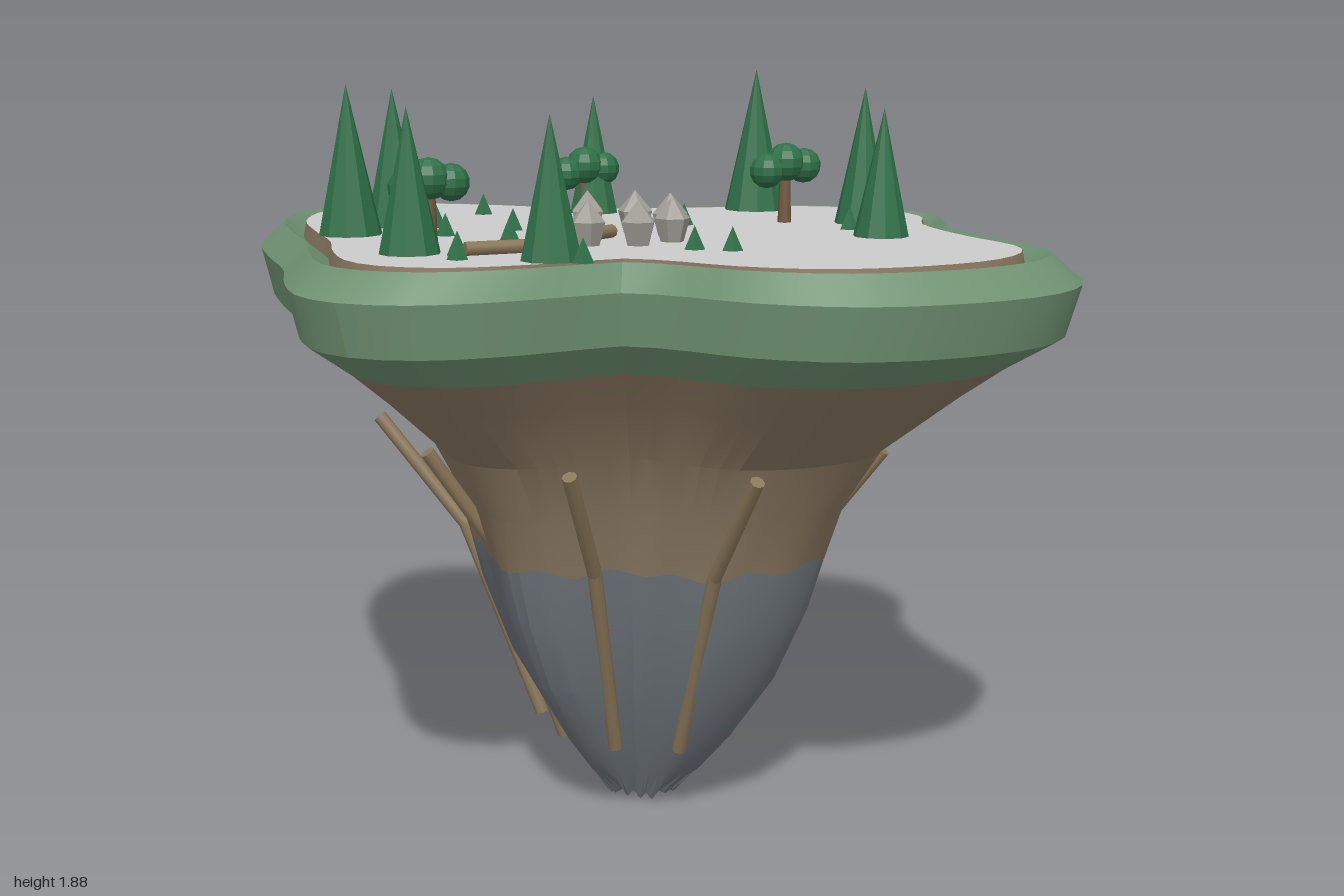
import * as THREE from 'three';
import { toCreasedNormals } from 'three/addons/utils/BufferGeometryUtils.js';

const mat = (name, color, flatShading = false) => {
  const m = new THREE.MeshStandardMaterial({ color });
  m.name = name;
  m.flatShading = flatShading;
  return m;
};

export function createModel() {
  const grass = mat('grass green', 0x6f9272);
  const earth = mat('earth brown', 0x8b7962);
  const slate = mat('slate grey', 0x6e757b);
  const snow = mat('pale ground', 0xcbcbcb);
  const leaf = mat('leaf green', 0x2f7048, true);
  const stone = mat('stone grey', 0xa09e96, true);
  const wood = mat('root wood', 0x8b7759);
  const bark = mat('bark brown', 0x755a45);

  const island = new THREE.Group();
  island.name = 'floatingIsland';
  const add = (parent, name, geo, material, x = 0, y = 0, z = 0) => {
    const m = new THREE.Mesh(geo, material);
    m.name = name;
    m.position.set(x, y, z);
    parent.add(m);
    return m;
  };

  // Wavy outline of the island, seen from above (x, z)
  const outline = [
    [0.993, 0.37], [0.91, 0.14], [0.845, -0.16], [0.88, -0.40], [0.80, -0.60], [0.62, -0.71],
    [0.44, -0.725], [0.19, -0.685], [-0.03, -0.665], [-0.235, -0.70], [-0.475, -0.805], [-0.715, -0.85],
    [-0.89, -0.79], [-0.98, -0.61], [-0.997, -0.345], [-0.93, -0.05], [-0.85, 0.215], [-0.81, 0.455],
    [-0.75, 0.645], [-0.66, 0.745], [-0.50, 0.79], [-0.315, 0.745], [-0.155, 0.665], [-0.05, 0.62],
    [0.06, 0.67], [0.22, 0.78], [0.435, 0.84], [0.675, 0.79], [0.875, 0.67], [0.98, 0.51],
  ];
  const N = 80;
  const rim = new THREE.CatmullRomCurve3(
    outline.map(([x, z]) => new THREE.Vector3(x, 0, z)), true).getSpacedPoints(N);

  // Skin through scaled copies of the outline: rings of [height, scale, waviness]
  function loft(rings) {
    const pos = [], index = [];
    rings.forEach(([y, s, wave = 0]) => {
      for (let j = 0; j < N; j++) {
        const p = rim[j];
        pos.push(p.x * s, y + wave * Math.sin(j * 0.157 * 3) * Math.cos(j * 0.157 * 5), p.z * s);
      }
    });
    for (let i = 0; i < rings.length - 1; i++) {
      for (let j = 0; j < N; j++) {
        const a = i * N + j, b = i * N + (j + 1) % N;
        index.push(a, a + N, b, b, a + N, b + N);
      }
    }
    const g = new THREE.BufferGeometry();
    g.setAttribute('position', new THREE.Float32BufferAttribute(pos, 3));
    g.setIndex(index);
    return toCreasedNormals(g, 0.3);
  }

  // Ground plate, grassy lip, earth and rock layers
  const ground = 1.495;
  add(island, 'ground', loft([[ground, 0], [ground, 0.872]]), snow);
  add(island, 'groundEdge', loft([[ground, 0.872], [1.455, 0.88]]), earth);
  add(island, 'grassRim', loft([[1.455, 0.88], [1.492, 0.932], [1.43, 1], [1.31, 0.97], [1.235, 0.86]]), grass);
  add(island, 'earthLayer', loft([[1.235, 0.86], [1.15, 0.755], [1, 0.585], [0.85, 0.5], [0.705, 0.455, 0.02]]), earth);
  add(island, 'rockLayer', loft([[0.705, 0.455, 0.02], [0.57, 0.42], [0.38, 0.345], [0.2, 0.235],
    [0.1, 0.16], [0.02, 0.09, 0.02], [0.03, 0]]), slate);

  // Straight round bars joined along a path
  const up = new THREE.Vector3(0, 1, 0);
  function bars(name, points, radius) {
    const g = new THREE.Group();
    g.name = name;
    for (let i = 0; i < points.length - 1; i++) {
      const a = new THREE.Vector3(...points[i]), b = new THREE.Vector3(...points[i + 1]);
      const d = b.clone().sub(a);
      const m = add(g, name + 'Part', new THREE.CylinderGeometry(radius, radius, d.length(), 8), wood);
      m.position.copy(a).add(b).multiplyScalar(0.5);
      m.quaternion.setFromUnitVectors(up, d.normalize());
    }
    island.add(g);
  }

  // Roots leaning out of the cliff, re-emerging near the tip
  [[0.25, 0.56], [-0.175, 0.5], [0.585, 0.25], [0.655, -0.29], [0.3, -0.53],
    [-0.22, -0.53], [-0.68, -0.18], [-0.52, 0.24]].forEach(([x, z]) =>
    bars('root', [[x, 0.99, z], [x * 0.67, 0.71, z * 0.69], [x * 0.38, 0.2, z * 0.37]], 0.018));

  // Fallen log
  bars('log', [[-0.4, 1.515, 0.52], [-0.24, 1.515, 0.455], [-0.155, 1.515, 0.28], [-0.07, 1.515, 0.17]], 0.016);

  // Conifers: x, z, radius, tip height
  [[-0.11, -0.48, 0.067, 1.81], [0.34, -0.555, 0.085, 1.877], [0.585, -0.185, 0.072, 1.84],
    [0.585, 0.12, 0.068, 1.80], [-0.62, -0.15, 0.075, 1.84], [-0.71, 0.045, 0.078, 1.857],
    [-0.53, 0.43, 0.071, 1.82], [-0.21, 0.56, 0.07, 1.81]].forEach(([x, z, r, top]) => {
    const tree = new THREE.Group();
    tree.name = 'conifer';
    tree.position.set(x, ground, z);
    const h = top - ground;
    add(tree, 'coniferLeaves', new THREE.ConeGeometry(r, h, 10), leaf, 0, h / 2, 0);
    add(tree, 'coniferTrunk', new THREE.CylinderGeometry(r * 0.27, r * 0.3, h * 0.74, 6), bark, 0, h * 0.37, 0);
    island.add(tree);
  });

  // Round trees: three leaf balls on a trunk
  [[0.385, -0.205, 1.635], [-0.5, 0.23, 1.63], [-0.135, -0.45, 1.61]].forEach(([x, z, y]) => {
    const tree = new THREE.Group();
    tree.name = 'roundTree';
    tree.position.set(x, y, z);
    const h = y - ground;
    add(tree, 'roundTreeTrunk', new THREE.CylinderGeometry(0.014, 0.018, h, 7), bark, 0, -h / 2, 0);
    [[-0.05, -0.005, 0.024, 0.045], [0, 0.015, 0, 0.05], [0.05, 0.005, -0.024, 0.045]].forEach(([a, b, c, r]) =>
      add(tree, 'roundTreeLeaves', new THREE.SphereGeometry(r, 10, 7), leaf, a, b, c));
    island.add(tree);
  });

  // Little shrubs
  const shrub = new THREE.ConeGeometry(0.025, 0.055, 5);
  [[-0.41, -0.44], [-0.515, -0.145], [-0.525, -0.105], [-0.14, -0.155], [0.12, -0.15], [-0.315, -0.04],
    [-0.54, 0.03], [-0.475, 0.08], [-0.315, 0.185], [0.53, -0.035], [0.115, 0.375], [0.2, 0.4],
    [-0.42, 0.47], [-0.415, 0.545], [-0.14, 0.61]].forEach(([x, z]) =>
    add(island, 'shrub', shrub, leaf, x, ground + 0.0275, z));

  // Ring of pointed stones
  const rock = new THREE.LatheGeometry(
    [[0.028, 0], [0.043, 0.055], [0.001, 0.105]].map(p => new THREE.Vector2(...p)), 6);
  for (let i = 0; i < 8; i++) {
    const a = (i + 0.5) * Math.PI / 4;
    const m = add(island, 'standingStone', rock, stone, -0.07 + 0.153 * Math.cos(a), ground, 0.165 + 0.138 * Math.sin(a));
    m.rotation.y = a * 1.7;
  }
  return island;
}
